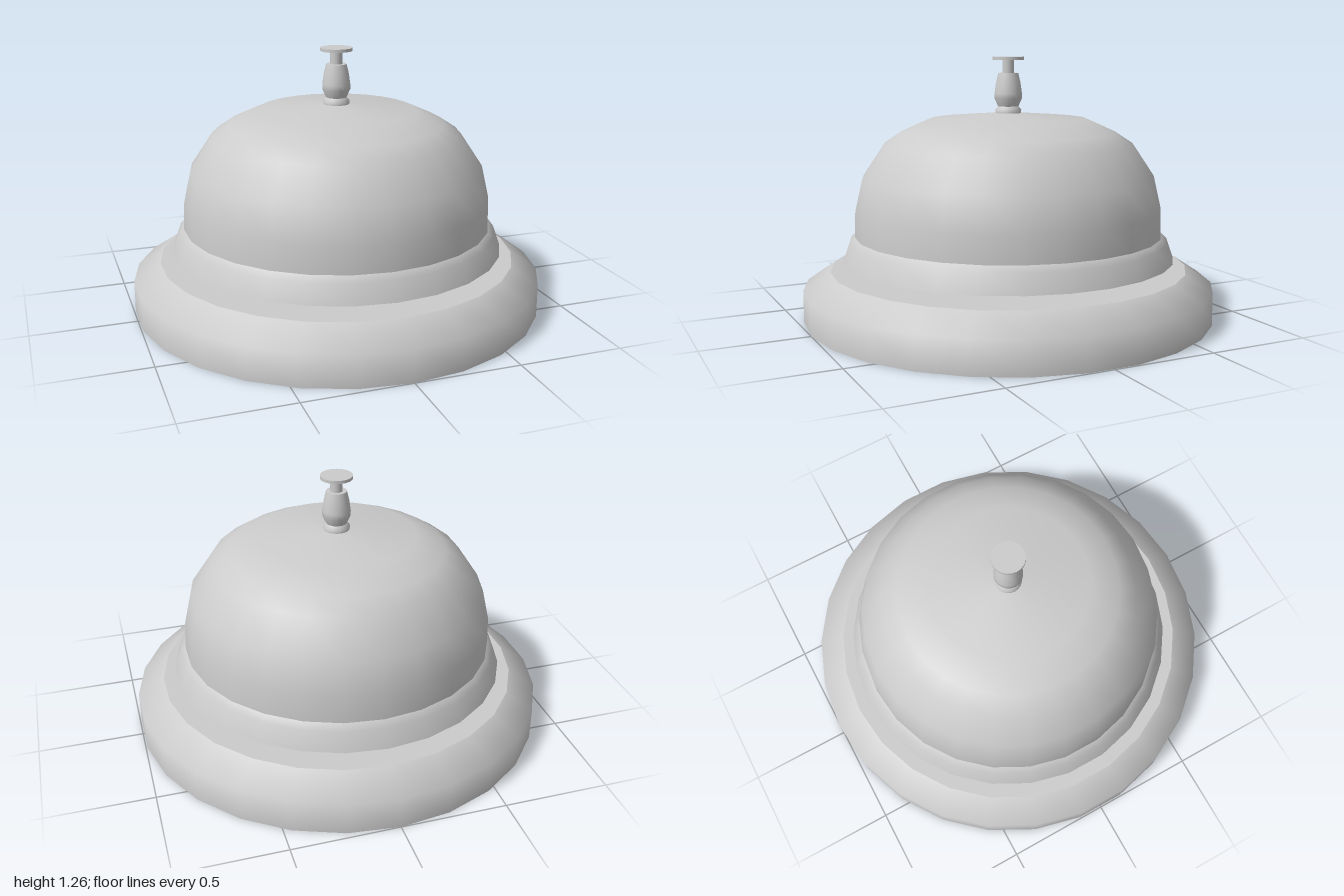
import * as THREE from 'three';

const material = new THREE.MeshStandardMaterial({ color: 0xcccccc, side: THREE.DoubleSide });

// Turned part: each profile is smooth in itself, with a sharp edge between profiles
function turned(name, segments, profiles) {
  const part = new THREE.Group();
  part.name = name;
  profiles.forEach((profile, i) => {
    const points = profile.map(([r, y]) => new THREE.Vector2(r, y));
    const mesh = new THREE.Mesh(new THREE.LatheGeometry(points, segments), material);
    mesh.name = `${name}Surface${i + 1}`;
    part.add(mesh);
  });
  return part;
}

export function createModel() {
  const model = new THREE.Group();
  model.name = 'deskBell';

  // Solid base with a sloping shoulder
  model.add(turned('base', 26, [
    [[0, 0], [1, 0]],
    [[1, 0], [1, 0.155], [0.87, 0.24]],
    [[0.87, 0.24], [0, 0.24]],
  ]));

  // Hollow bell: flared lip, dome, rim and inner wall
  model.add(turned('bell', 26, [
    [[0.81, 0.285], [0.778, 0.375], [0.75, 0.402]],
    [[0.75, 0.402], [0.746, 0.53], [0.71, 0.685], [0.603, 0.845], [0.52, 0.9], [0.382, 0.962], [0, 0.995]],
    [[0.79, 0.285], [0.81, 0.285]],
    [[0, 0.975], [0.375, 0.942], [0.51, 0.88], [0.588, 0.83], [0.69, 0.68], [0.726, 0.53], [0.73, 0.402], [0.758, 0.375], [0.79, 0.285]],
  ]));

  // Post that carries the bell
  model.add(turned('post', 20, [[[0.062, 0.24], [0.062, 0.98]]]));

  // Collar and tapered housing of the plunger
  model.add(turned('plungerHousing', 20, [
    [[0.062, 0.985], [0.064, 1.005], [0.05, 1.022]],
    [[0.05, 1.022], [0.067, 1.06], [0.067, 1.085], [0.06, 1.135], [0.049, 1.182]],
    [[0.049, 1.182], [0, 1.182]],
  ]));

  // Plunger stem and flat button
  model.add(turned('plungerStem', 20, [[[0.029, 1.18], [0.029, 1.246]]]));
  model.add(turned('button', 20, [
    [[0, 1.245], [0.077, 1.245]],
    [[0.077, 1.245], [0.077, 1.26]],
    [[0.077, 1.26], [0, 1.26]],
  ]));

  return model;
}
